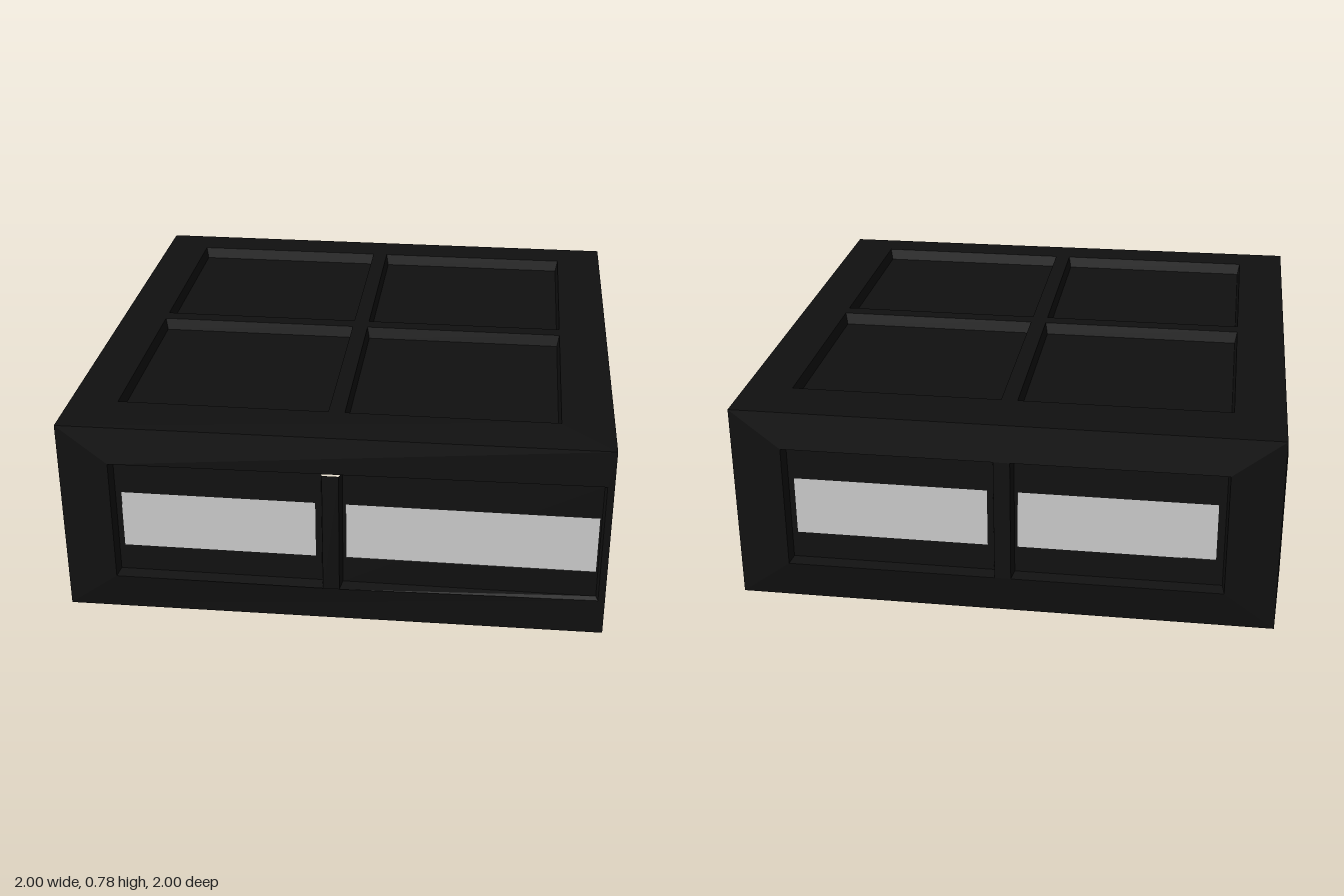
import * as THREE from 'three';

const MID = 0.388;   // height of the middle of the box
const HALF_H = 0.388;
const FLOOR = 0.045; // depth of the recessed panels

const vec = (x, y, z) => new THREE.Vector3(x, y, z);
const AXIS = { x: vec(1, 0, 0), y: vec(0, 1, 0), z: vec(0, 0, 1) };
const neg = (a) => a.clone().negate();

// Flat-shaded mesh from a list of counter-clockwise quads
function quadMesh(name, quads, material) {
  const pos = [];
  for (const [a, b, c, d] of quads) for (const p of [a, b, c, a, c, d]) pos.push(p.x, p.y, p.z);
  const geo = new THREE.BufferGeometry();
  geo.setAttribute('position', new THREE.Float32BufferAttribute(pos, 3));
  geo.computeVertexNormals();
  const mesh = new THREE.Mesh(geo, material);
  mesh.name = name;
  return mesh;
}

// The eight box corners, pulled in a little; one front corner is pulled in further
function corner(p) {
  const dented = p.x > 0 && p.z > 0;
  return vec(
    Math.sign(p.x) * (dented ? 0.99 : 0.985),
    MID + Math.sign(p.y) * 0.374,
    Math.sign(p.z) * (dented ? 0.968 : 0.985)
  );
}

// One side: sloped border, mullions, recessed panels, optional windows
function buildFace({ name, u, v, w, out, cols, rows, windows, dented }, bodyMat, glassMat) {
  const at = (a, b, c) =>
    vec(0, MID, 0).addScaledVector(u, a).addScaledVector(v, b).addScaledVector(w, c);
  const surf = (a) => (dented && a > 0.03 ? out - 0.028 * (a - 0.03) / 0.935 : out);
  const on = (a, b) => at(a, b, surf(a));
  const rect = (a0, a1, b0, b1, f) => [f(a0, b0), f(a1, b0), f(a1, b1), f(a0, b1)];
  const join = (quads, outer, inner) => {
    for (let i = 0; i < 4; i++) {
      const j = (i + 1) % 4;
      quads.push([outer[i], outer[j], inner[j], inner[i]]);
    }
  };
  const a0 = cols[0][0], a1 = cols.at(-1)[1], b0 = rows[0][0], b1 = rows.at(-1)[1];

  // Sloped border from the box corners to the panel field
  const frame = [];
  const outer = rect(-1, 1, -1, 1, (a, b) =>
    corner(vec(0, 0, 0).addScaledVector(u, a).addScaledVector(v, b).add(w)));
  join(frame, outer, rect(a0, a1, b0, b1, on));

  // Mullions between the panels
  for (let i = 0; i + 1 < cols.length; i++) frame.push(rect(cols[i][1], cols[i + 1][0], b0, b1, on));
  for (const [c0, c1] of cols)
    for (let i = 0; i + 1 < rows.length; i++) frame.push(rect(c0, c1, rows[i][1], rows[i + 1][0], on));

  // Recessed panels with slightly tapered walls
  const panels = [];
  const t = 0.008;
  for (const [c0, c1] of cols)
    for (const [r0, r1] of rows) {
      const bottom = rect(c0 + t, c1 - t, r0 + t, r1 - t, (a, b) => at(a, b, out - FLOOR));
      join(panels, rect(c0, c1, r0, r1, on), bottom);
      panels.push(bottom);
    }

  const group = new THREE.Group();
  group.name = name;
  group.add(quadMesh('frame', frame, bodyMat), quadMesh('recessedPanels', panels, bodyMat));

  // Light window strips set just above the panel floors
  if (windows) {
    const strips = windows.map(([c0, c1]) =>
      rect(c0, c1, -0.122, 0.1, (a, b) => at(a, b, out - FLOOR + 0.004)));
    group.add(quadMesh('windows', strips, glassMat));
  }
  return group;
}

export function createModel() {
  const bodyMat = new THREE.MeshStandardMaterial({ color: 0x101010, flatShading: true });
  const glassMat = new THREE.MeshStandardMaterial({ color: 0xcccccc, flatShading: true });
  const { x, y, z } = AXIS;
  const halves = [[-0.8, -0.03], [0.03, 0.8]];
  const sideRows = [[-0.235, 0.235]];
  const strips = [[-0.77, -0.06], [0.05, 0.765]];
  const side = { v: y, out: 0.998, cols: halves, rows: sideRows, windows: strips };
  const lid = { out: HALF_H, cols: halves, rows: halves };

  const faces = [
    { ...side, name: 'frontSide', u: x, w: z, dented: true,
      cols: [[-0.8, -0.03], [0.03, 0.965]], windows: [[-0.77, -0.06], [0.05, 0.95]] },
    { ...side, name: 'leftSide', u: neg(z), w: x, windows: [[-0.79, -0.065], [0.045, 0.765]] },
    { ...side, name: 'backSide', u: neg(x), w: neg(z) },
    { ...side, name: 'rightSide', u: z, w: neg(x) },
    { ...lid, name: 'top', u: x, v: neg(z), w: y },
    { ...lid, name: 'bottom', u: x, v: z, w: neg(y) },
  ];

  const model = new THREE.Group();
  model.name = 'panelledBox';
  for (const face of faces) model.add(buildFace(face, bodyMat, glassMat));
  return model;
}
